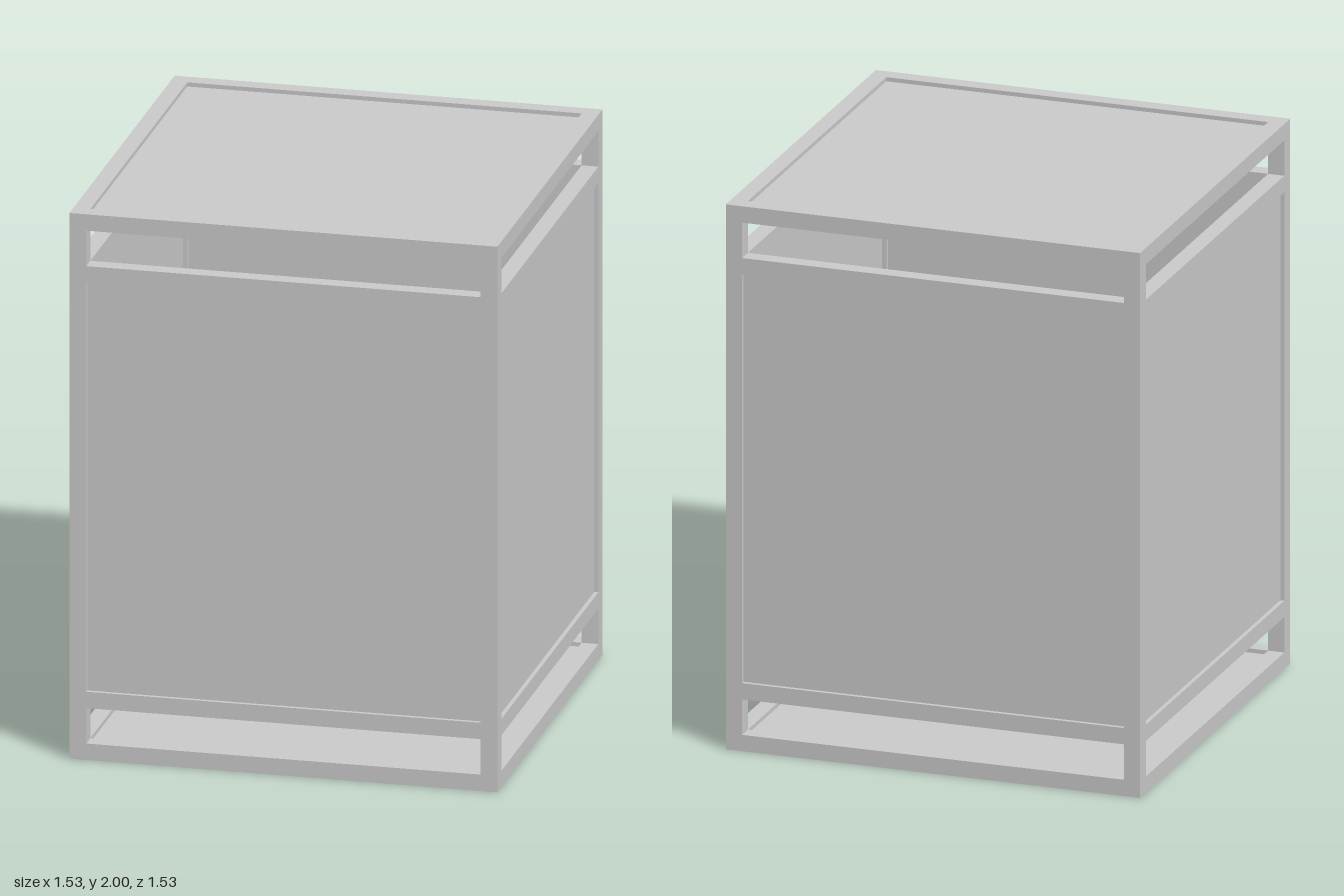
import * as THREE from 'three';

const HALF = 0.765;        // half width of the frame
const HEIGHT = 2;
const BAR = 0.06;          // square bar section
const PANEL = 0.03;        // panel thickness, centred in the bars
const INNER = 2 * (HALF - BAR);
const MID = HALF - BAR / 2; // centre line of the bars

export function createModel() {
  const model = new THREE.Group();
  const material = new THREE.MeshStandardMaterial({ color: 0xcccccc, flatShading: true });

  function box(name, w, h, d, x, y, z, parent = model) {
    const mesh = new THREE.Mesh(new THREE.BoxGeometry(w, h, d), material);
    mesh.name = name;
    mesh.position.set(x, y, z);
    parent.add(mesh);
  }

  // Corner posts
  for (const x of [-MID, MID]) {
    for (const z of [-MID, MID]) box('cornerPost', BAR, HEIGHT, BAR, x, HEIGHT / 2, z);
  }

  // Four sides: horizontal rails with a recessed panel between the middle two
  const railHeights = [0.03, 0.22, 1.78, 1.97];
  ['front', 'left', 'back', 'right'].forEach((side, i) => {
    const group = new THREE.Group();
    group.name = side + 'Side';
    group.rotation.y = i * Math.PI / 2;
    for (const y of railHeights) box('rail', INNER, BAR, BAR, 0, y, MID, group);
    box('sidePanel', INNER, 1.5, PANEL, 0, 1, MID, group);
    model.add(group);
  });

  // Recessed top and bottom panels
  box('topPanel', INNER, PANEL, INNER, 0, railHeights[3], 0);
  box('bottomPanel', INNER, PANEL, INNER, 0, railHeights[0], 0);

  return model;
}
